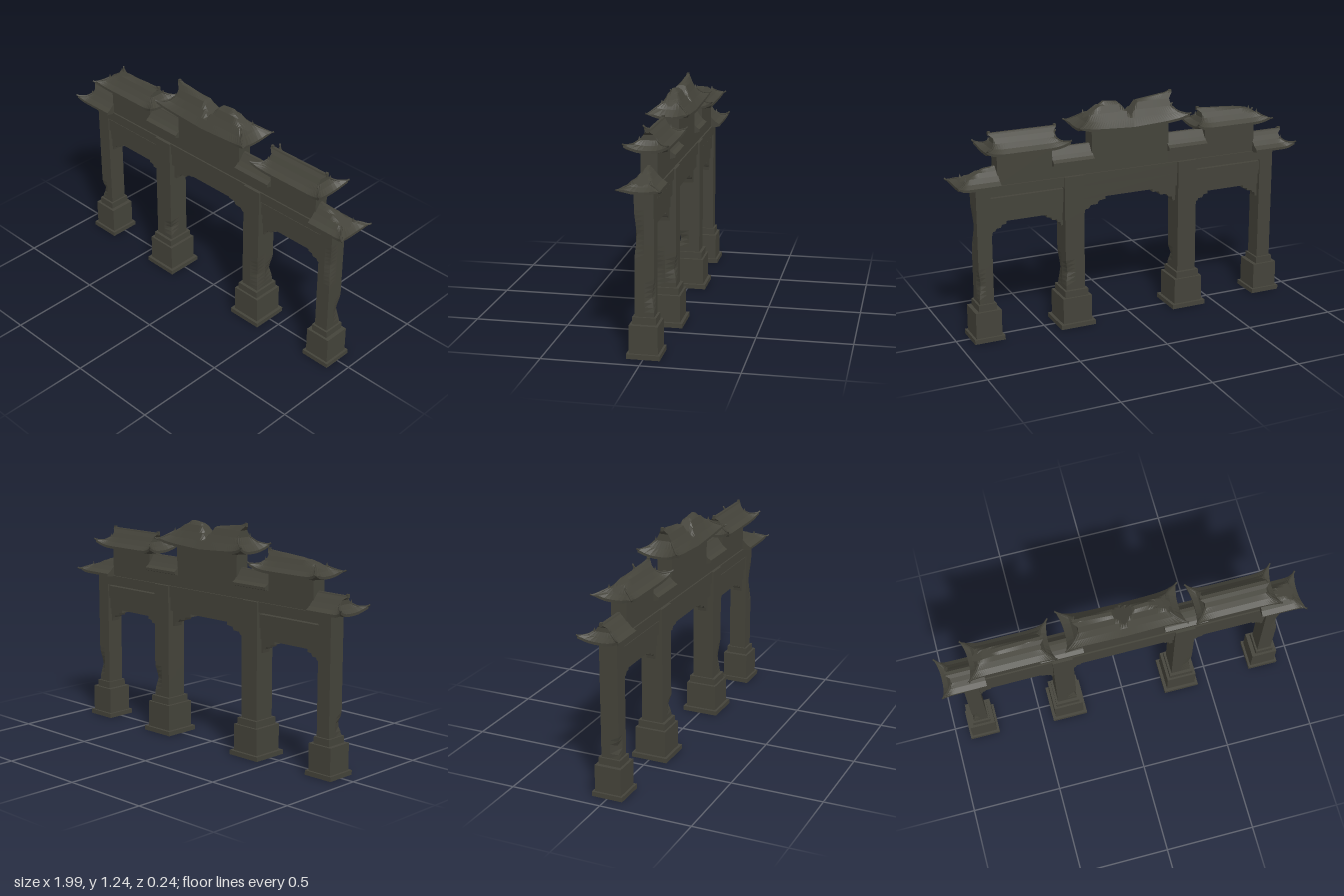
import * as THREE from 'three';

const stone = new THREE.MeshStandardMaterial({ color: 0x44433a });
stone.name = 'weathered stone';

function add(parent, name, geometry, x = 0, y = 0, z = 0) {
  const mesh = new THREE.Mesh(geometry, stone);
  mesh.name = name;
  mesh.position.set(x, y, z);
  parent.add(mesh);
  return mesh;
}

// Block spanning x0..x1 and y0..y1, with half depth hz
function block(parent, name, x0, x1, y0, y1, hz) {
  return add(parent, name, new THREE.BoxGeometry(x1 - x0, y1 - y0, hz * 2), (x0 + x1) / 2, (y0 + y1) / 2);
}

// Straight interpolation along a list of [x, y] points
function polyline(points) {
  return (x) => {
    for (let i = 1; i < points.length; i++) {
      const [ax, ay] = points[i - 1], [bx, by] = points[i];
      if (x <= bx) return ay + (by - ay) * Math.max(0, (x - ax) / (bx - ax));
    }
    return points[points.length - 1][1];
  };
}

// Shaft with chipped corners: dents are [side x, side z, y, half height, depth]
function shaft(parent, x, w, hz, y0, y1, dents) {
  const g = new THREE.BoxGeometry(w, y1 - y0, hz * 2, 2, 26, 2);
  const p = g.attributes.position;
  for (let i = 0; i < p.count; i++) {
    const y = p.getY(i) + (y0 + y1) / 2;
    for (const [sx, sz, dy, half, depth] of dents) {
      if (p.getX(i) * sx > 0.01 && p.getZ(i) * sz > 0.01) {
        const t = depth * Math.max(0, 1 - Math.abs(y - dy) / half);
        p.setX(i, p.getX(i) - sx * t);
        p.setZ(i, p.getZ(i) - sz * t);
      }
    }
  }
  const flat = g.toNonIndexed();
  flat.computeVertexNormals();
  add(parent, 'shaft', flat, x, (y0 + y1) / 2);
}

function pillar(parent, name, x, s, dents) {
  const g = new THREE.Group();
  g.name = name;
  block(g, 'foot', x - s.foot, x + s.foot, 0, 0.025, s.footZ);
  block(g, 'pedestal', x - s.base, x + s.base, 0.025, 0.17, s.baseZ);
  block(g, 'pedestalStep', x - s.step, x + s.step, 0.17, 0.207, s.stepZ);
  shaft(g, x, s.shaft * 2, s.shaftZ, 0.207, 0.845, dents);
  parent.add(g);
}

// Curved roof lofted from stacked rectangular rings: [x start, x end, half depth, y, corner lift]
// freeA / freeB mark ends with upturned corners; cut is the broken upper outline
function roof(parent, name, rings, freeA, freeB, cut, finials = []) {
  const NX = 40, NZ = 8, P = 2 * (NX + NZ);
  const point = ([xa, xb, hz, y, lift, sag = 0], n) => {
    const i = n % P;
    let u, v;
    if (i <= NX) [u, v] = [-1 + 2 * i / NX, 1];
    else if (i <= NX + NZ) [u, v] = [1, 1 - 2 * (i - NX) / NZ];
    else if (i <= 2 * NX + NZ) [u, v] = [1 - 2 * (i - NX - NZ) / NX, -1];
    else [u, v] = [-1, -1 + 2 * (i - 2 * NX - NZ) / NZ];
    const w = lift * ((u < 0 ? freeA : freeB) ? Math.abs(u) ** 8 * Math.abs(v) ** 3 : 0);
    const x = (xa + xb) / 2 + (xb - xa) / 2 * u + Math.sign(u) * w * 0.6;
    const top = y + w - sag * Math.max(0, 1 - Math.abs(u) / 0.75);
    return new THREE.Vector3(x, Math.min(top, cut(x)), hz * v + Math.sign(v) * w * 0.6);
  };
  const pos = [], index = [];
  rings.forEach((r) => { for (let i = 0; i < P; i++) pos.push(...point(r, i).toArray()); });
  for (let k = 0; k + 1 < rings.length; k++) {
    for (let i = 0; i < P; i++) {
      const a = k * P + i, b = k * P + (i + 1) % P;
      index.push(a, b, b + P, a, b + P, a + P);
    }
  }
  // Close the ridge top
  const t = (rings.length - 1) * P, back = t + 2 * NX + NZ;
  for (let i = 0; i < NX; i++) {
    index.push(t + i, t + i + 1, back - i - 1, t + i, back - i - 1, back - i);
  }
  const indexed = new THREE.BufferGeometry();
  indexed.setAttribute('position', new THREE.Float32BufferAttribute(pos, 3));
  indexed.setIndex(index);
  const geo = indexed.toNonIndexed();
  geo.computeVertexNormals();
  const g = new THREE.Group();
  g.name = name;
  add(g, 'roofShell', geo);

  // Raised hip ribs with upturned tips and a small ornament
  [[0, freeA], [NX, freeB], [NX + NZ, freeB], [2 * NX + NZ, freeA]].forEach(([c, free]) => {
    if (!free) return;
    const path = [2, 3, 4].map((k) => point(rings[k], c));
    const tip = path[0].clone().add(path[0].clone().sub(path[1]).setY(0).multiplyScalar(0.15));
    tip.y += 0.006;
    add(g, 'hipRib', new THREE.TubeGeometry(new THREE.CatmullRomCurve3([tip, ...path]), 8, 0.005, 5));
    add(g, 'hipOrnament', new THREE.ConeGeometry(0.008, 0.022, 4), path[2].x, path[2].y + 0.009, path[2].z);
  });
  finials.forEach(([x, y]) => add(g, 'ridgeFinial', new THREE.BoxGeometry(0.014, 0.02, 0.014), x, y, 0));
  parent.add(g);
}

// Ring list; a/b describe each end as [soffit x, eave x, waist x, ridge x]
function rings(a, b, y, h, d, lift, sag = 0) {
  const mix = (e, t) => e[1] + (e[2] - e[1]) * t;
  return [
    [a[0], b[0], 0.043, y - 0.012, 0, sag],
    [a[1], b[1], d, y - 0.004, lift, sag],
    [a[1], b[1], d, y + 0.01, lift, sag],
    [mix(a, 0.6), mix(b, 0.6), d * 0.72, y + h * 0.28, lift * 0.3],
    [mix(a, 0.95), mix(b, 0.95), d * 0.48, y + h * 0.52, 0],
    [a[2], b[2], d * 0.28, y + h * 0.76, 0],
    [a[3], b[3], 0.01, y + h * 0.93, 0],
    [a[3], b[3], 0.007, y + h, 0],
  ];
}

// Stepped corner bracket below a beam; dir points away from the pillar
function bracket(parent, x, y, w, h, dir) {
  const s = new THREE.Shape();
  [[0, 0], [1, 0], [1, -0.25], [0.72, -0.3], [0.66, -0.5], [0.38, -0.52], [0.3, -0.7], [0.15, -0.74], [0.12, -1], [0, -1]]
    .forEach(([px, py], i) => (i ? s.lineTo(px * w, py * h) : s.moveTo(px * w, py * h)));
  const geo = new THREE.ExtrudeGeometry(s, { depth: 0.05, bevelEnabled: false });
  const m = add(parent, 'bracket', geo, x, y, -0.025 * dir);
  if (dir < 0) m.rotation.y = Math.PI;
}

export function createModel() {
  const model = new THREE.Group();
  model.name = 'memorialGate';

  // Pillars
  const inner = { foot: 0.1, footZ: 0.102, base: 0.083, baseZ: 0.087, step: 0.067, stepZ: 0.076, shaft: 0.055, shaftZ: 0.06 };
  const outer = { foot: 0.085, footZ: 0.085, base: 0.072, baseZ: 0.073, step: 0.05, stepZ: 0.06, shaft: 0.04, shaftZ: 0.049 };
  pillar(model, 'outerPillarRight', -0.837, outer, [[-1, 1, 0.27, 0.05, 0.015]]);
  pillar(model, 'innerPillarRight', -0.335, inner, [[1, 1, 0.28, 0.05, 0.012]]);
  pillar(model, 'innerPillarLeft', 0.335, inner, [[1, 1, 0.31, 0.1, 0.012], [1, -1, 0.31, 0.07, 0.014]]);
  pillar(model, 'outerPillarLeft', 0.837, outer, [[1, 1, 0.62, 0.12, 0.012], [1, -1, 0.31, 0.08, 0.014]]);

  // Central beams and wall
  block(model, 'centreLowerBeam', -0.29, 0.29, 0.705, 0.78, 0.042);
  block(model, 'centreUpperBeam', -0.39, 0.39, 0.78, 0.845, 0.05);
  block(model, 'centreWall', -0.225, 0.225, 0.845, 1.085, 0.042);

  for (const s of [-1, 1]) {
    const span = (name, a, b, y0, y1, hz) => block(model, name, Math.min(a * s, b * s), Math.max(a * s, b * s), y0, y1, hz);
    // Side beams and walls
    span('sideLowerBeam', 0.385, 0.8, 0.645, 0.707, 0.032);
    span('sideMiddleBeam', 0.385, 0.8, 0.707, 0.78, 0.042);
    span('sideUpperBeam', 0.385, 0.8, 0.79, 0.845, 0.05);
    span('sideWall', 0.45, 0.755, 0.845, 1.01, 0.042);
    span('linkWall', 0.225, 0.45, 0.845, 0.915, 0.042);
    // Brackets
    bracket(model, 0.28 * s, 0.706, 0.14, 0.09, -s);
    bracket(model, 0.39 * s, 0.646, 0.09, 0.075, s);
    bracket(model, 0.797 * s, 0.646, 0.09, 0.075, -s);
  }

  const whole = () => 9;

  // Central roof with a broken ridge
  const centreCut = polyline([[-0.26, 1.24], [-0.22, 1.227], [-0.05, 1.205], [0, 1.135], [0.06, 1.21], [0.14, 1.22], [0.22, 1.17], [0.3, 1.11], [0.4, 1.11]]);
  roof(model, 'centreRoof', rings([-0.225, -0.3, -0.235, -0.257], [0.225, 0.3, 0.235, 0.257], 1.085, 0.15, 0.092, 0.03, 0.012),
    true, true, centreCut, [[-0.252, 1.23]]);

  // Side roofs, the right one worn at its outer end
  const sideCut = polyline([[-0.9, 1.04], [-0.82, 1.04], [-0.74, 1.083], [-0.65, 1.103], [-0.42, 1.12]]);
  roof(model, 'sideRoofRight', rings([-0.755, -0.81, -0.765, -0.79], [-0.45, -0.39, -0.435, -0.415], 1.015, 0.105, 0.092, 0.03),
    true, true, sideCut, [[-0.42, 1.118]]);
  roof(model, 'sideRoofLeft', rings([0.45, 0.39, 0.435, 0.415], [0.755, 0.81, 0.765, 0.785], 1.015, 0.105, 0.092, 0.03),
    true, true, whole, [[0.42, 1.118], [0.78, 1.118]]);

  // Outer half roofs against the side walls
  const end = [0.877, 0.97, 0.925, 0.945], wall = [0.75, 0.75, 0.75, 0.75];
  const neg = (list) => list.map((v) => -v);
  const endCut = polyline([[0.75, 0.945], [0.82, 0.935], [0.98, 0.868], [1.1, 0.868]]);
  roof(model, 'outerRoofRight', rings(neg(end), neg(wall), 0.85, 0.095, 0.092, 0.026), true, false, whole, [[-0.94, 0.943]]);
  roof(model, 'outerRoofLeft', rings(wall, end, 0.85, 0.095, 0.092, 0.026), false, true, endCut);

  // Small link roofs between the centre and side walls
  const a = Array(4).fill(0.22), b = Array(4).fill(0.452);
  roof(model, 'linkRoofLeft', rings(a, b, 0.922, 0.08, 0.07, 0), false, false, whole);
  roof(model, 'linkRoofRight', rings(neg(b), neg(a), 0.922, 0.08, 0.07, 0), false, false, whole);

  return model;
}
